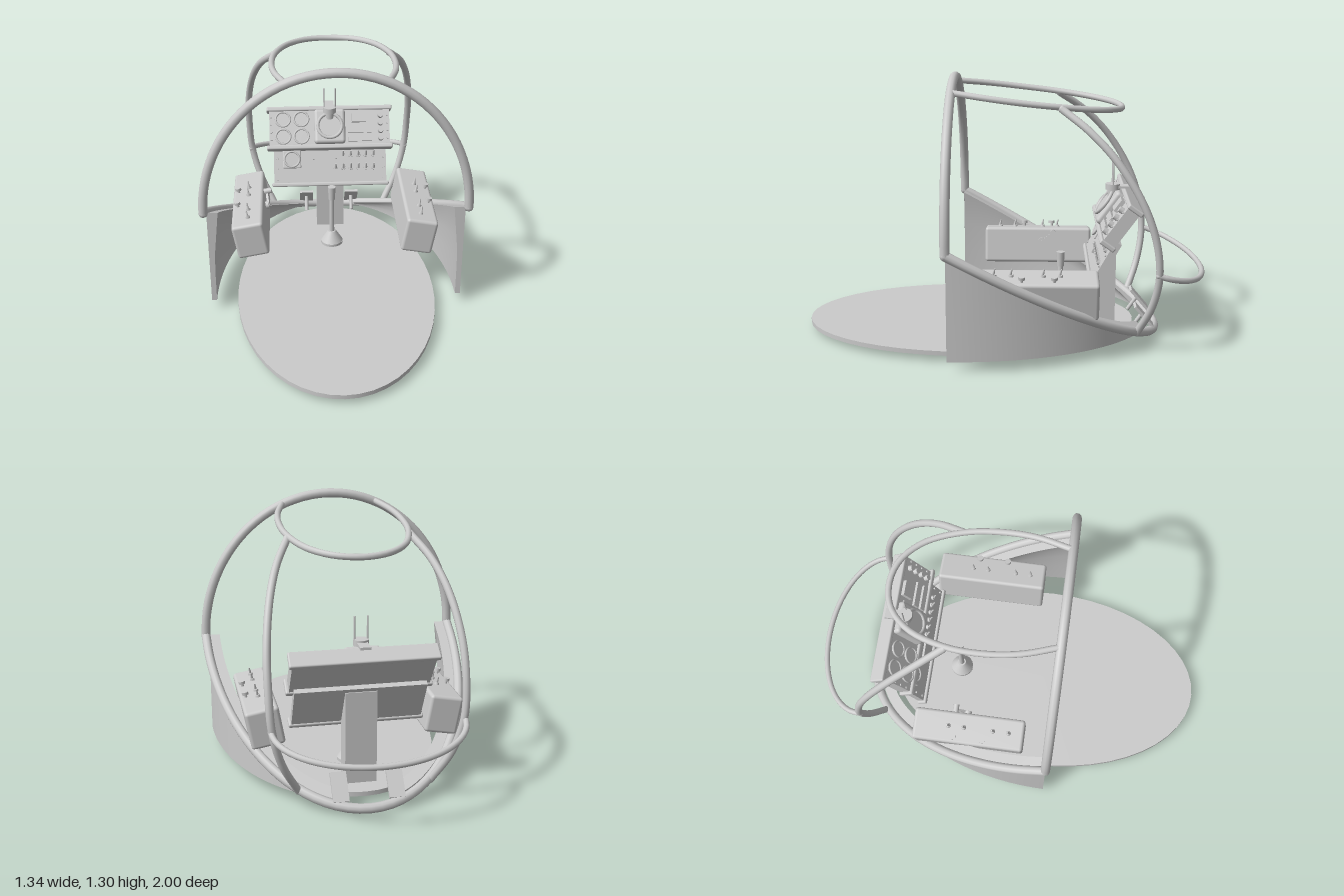
import * as THREE from 'three';
import { toCreasedNormals } from 'three/addons/utils/BufferGeometryUtils.js';
import { RoundedBoxGeometry } from 'three/addons/geometries/RoundedBoxGeometry.js';

const mat = new THREE.MeshStandardMaterial({ color: 0xcccccc });
const thin = new THREE.MeshStandardMaterial({ color: 0xcccccc, side: THREE.DoubleSide });

function add(parent, name, geo, x = 0, y = 0, z = 0, material = mat) {
  const mesh = new THREE.Mesh(geo, material);
  mesh.name = name;
  mesh.position.set(x, y, z);
  parent.add(mesh);
  return mesh;
}
function group(parent, name, x, y, z) {
  const g = new THREE.Group();
  g.name = name;
  g.position.set(x, y, z);
  parent.add(g);
  return g;
}
const box = (w, h, d) => new THREE.BoxGeometry(w, h, d);
const rounded = (w, h, d, r) => new RoundedBoxGeometry(w, h, d, 3, r);
const cyl = (rTop, rBottom, h, n = 20) => new THREE.CylinderGeometry(rTop, rBottom, h, n);
// Cylinder whose axis points out of a panel (+z)
const stud = (rFront, rBack, h, n = 16) => cyl(rFront, rBack, h, n).rotateX(Math.PI / 2);

// Tube through points, with rounded ends
function pipe(parent, name, points, r, segments = 32) {
  const pts = points.map((p) => new THREE.Vector3(...p));
  const g = group(parent, name, 0, 0, 0);
  add(g, name + 'Tube', new THREE.TubeGeometry(new THREE.CatmullRomCurve3(pts), segments, r, 10), 0, 0, 0, thin);
  for (const p of [pts[0], pts[pts.length - 1]]) {
    add(g, name + 'End', new THREE.SphereGeometry(r, 10, 8), p.x, p.y, p.z);
  }
}
const arc = (n, fn) => Array.from({ length: n + 1 }, (_, i) => fn((i / n) * Math.PI));
const slopeY = (z) => 0.57 - 0.535 * (0.25 - z);

// Curved side wall: elliptical in plan, cut off by the sloping rim
function wallGeometry() {
  const steps = 28, tEnd = Math.asin(0.95 / 0.98), pos = [], idx = [];
  // [inset, height fraction] around the cross-section
  const section = [[0, 0], [0, 1], [0.055, 1], [0.04, 0.85], [0.032, 0.65], [0.026, 0.35], [0.025, 0]];
  const n = section.length;
  for (let i = 0; i <= steps; i++) {
    const t = (i / steps) * tEnd;
    for (const [inset, f] of section) {
      const z = 0.25 - (0.98 - inset) * Math.sin(t);
      const top = Math.max(slopeY(z), 0.062);
      pos.push((0.63 - inset) * Math.cos(t), 0.06 + (top - 0.06) * f, z);
    }
  }
  for (let i = 0; i < steps; i++) {
    for (let j = 0; j < n; j++) {
      const a = i * n + j, b = i * n + ((j + 1) % n);
      idx.push(a, b, a + n, b, b + n, a + n);
    }
  }
  for (let j = 1; j < n - 1; j++) idx.push(0, j + 1, j);
  const geo = new THREE.BufferGeometry();
  geo.setAttribute('position', new THREE.Float32BufferAttribute(pos, 3));
  geo.setIndex(idx);
  return toCreasedNormals(geo, 0.6);
}

function dial(parent, name, x, y, r, z = 0) {
  add(parent, name, stud(r * 0.85, r * 0.85, 0.012, 28), x, y, z + 0.004);
  add(parent, name + 'Bezel', new THREE.TorusGeometry(r * 0.88, r * 0.12, 8, 28), x, y, z + 0.01);
}

function buildFrame(root) {
  pipe(root, 'frontHoop', arc(24, (t) => [0.645 * Math.cos(t), 0.57 + 0.717 * Math.sin(t), 0.25]), 0.023, 48);
  pipe(root, 'slopingRim', arc(24, (t) => {
    const z = 0.25 - 1.01 * Math.sin(t);
    return [0.645 * Math.cos(t), slopeY(z), z];
  }), 0.023, 56);
  const half = [[0.24, 1.24, 0.24], [0.285, 1.222, 0.08], [0.3, 1.203, -0.08], [0.285, 1.183, -0.26],
    [0.22, 1.162, -0.44], [0.12, 1.15, -0.54]];
  const mirrored = half.map(([x, y, z]) => [-x, y, z]).reverse();
  pipe(root, 'roofRing', [...half, [0, 1.145, -0.57], ...mirrored], 0.015, 56);
  pipe(root, 'rearBow', arc(16, (t) => [0.44 * Math.cos(t), 0.42 - 0.083 * Math.sin(t), -0.725 - 0.26 * Math.sin(t)]), 0.014, 36);
  for (const s of [-1, 1]) {
    pipe(root, s > 0 ? 'leftRearRib' : 'rightRearRib', [
      [0.29, 1.175, -0.27], [0.36, 1.08, -0.4], [0.41, 0.95, -0.525], [0.44, 0.77, -0.64], [0.445, 0.6, -0.705],
      [0.435, 0.42, -0.73], [0.39, 0.25, -0.705], [0.31, 0.09, -0.645],
    ].map(([x, y, z]) => [s * x, y, z]), 0.018, 40);
  }
}

function buildUpperPanel(root) {
  const g = group(root, 'upperPanel', 0, 0.64, -0.53);
  g.rotation.x = -0.62;
  add(g, 'upperCase', box(0.66, 0.2, 0.065), 0, 0, -0.033);
  add(g, 'upperLid', rounded(0.69, 0.025, 0.085, 0.008), 0, 0.105, -0.035);
  add(g, 'upperLip', rounded(0.69, 0.025, 0.085, 0.008), 0, -0.108, -0.03);
  for (const x of [-0.255, -0.155]) for (const y of [0.045, -0.05]) dial(g, 'gauge', x, y, 0.045);
  add(g, 'centerMount', rounded(0.17, 0.19, 0.05, 0.018), 0, 0, 0.012);
  dial(g, 'centerGauge', 0, 0, 0.075, 0.036);
  add(g, 'screen', box(0.08, 0.065, 0.03), 0.16, 0.055, 0.005);
  add(g, 'displayBar', box(0.13, 0.033, 0.02), 0.165, -0.02, 0.004);
  add(g, 'displayBar', box(0.13, 0.03, 0.02), 0.165, -0.068, 0.004);
  for (let i = 0; i < 4; i++) {
    const y = 0.06 - i * 0.042;
    add(g, 'knob', stud(0.014, 0.016, 0.024), 0.28, y, 0.01);
    for (const x of [-0.32, 0.317]) add(g, 'screw', stud(0.005, 0.006, 0.008, 8), x, y, 0.003);
  }
}

function buildLowerPanel(root) {
  const g = group(root, 'lowerPanel', 0, 0.445, -0.475);
  g.rotation.x = -0.5;
  add(g, 'lowerCase', box(0.62, 0.23, 0.035), 0, 0, -0.018);
  add(g, 'lowerLip', rounded(0.645, 0.022, 0.055, 0.008), 0, -0.115, -0.015);
  add(g, 'gaugeMount', rounded(0.1, 0.1, 0.016, 0.006), -0.21, 0.025, 0.002);
  dial(g, 'gauge', -0.21, 0.025, 0.047, 0.008);
  add(g, 'radioPanel', box(0.18, 0.045, 0.016), -0.015, 0.045, 0.004);
  add(g, 'labelPanel', box(0.105, 0.035, 0.016), -0.063, -0.043, 0.004);
  for (const x of [-0.29, 0.295]) for (const y of [-0.085, -0.03, 0.03, 0.085]) {
    add(g, 'screw', stud(0.005, 0.006, 0.008, 8), x, y, 0.003);
  }
  for (let row = 0; row < 2; row++) for (let i = 1 - row; i < 6; i++) {
    const x = 0.03 + i * 0.042, y = 0.042 - row * 0.07;
    add(g, 'switchBase', stud(0.012, 0.013, 0.012, 12), x, y, 0.005);
    add(g, 'switchLever', cyl(0.004, 0.007, 0.035, 8), x, y + 0.012, 0.022).rotation.x = 0.8;
  }
}

function buildConsole(root) {
  buildUpperPanel(root);
  buildLowerPanel(root);
  // Column with its top cut to follow the panel
  const side = new THREE.Shape([[0.455, 0.06], [0.555, 0.06], [0.555, 0.51], [0.52, 0.52], [0.455, 0.4]]
    .map(([x, y]) => new THREE.Vector2(x, y)));
  const column = new THREE.ExtrudeGeometry(side, { depth: 0.15, bevelEnabled: false });
  add(root, 'consoleColumn', column.rotateY(Math.PI / 2).translate(-0.075, 0, 0));
  // Antenna base
  add(root, 'antennaBase', cyl(0.036, 0.036, 0.03), 0, 0.745, -0.535);
  add(root, 'antennaStem', cyl(0.026, 0.026, 0.04), 0, 0.715, -0.535);
  add(root, 'antennaBracket', box(0.05, 0.012, 0.09), 0, 0.745, -0.59);
  for (const s of [-1, 1]) add(root, 'antenna', cyl(0.004, 0.004, 0.12, 8), s * 0.03, 0.808, -0.535);
}

function buildArmrest(root, s) {
  const g = group(root, s > 0 ? 'leftArmrest' : 'rightArmrest', s * 0.43, 0.32, -0.165);
  g.rotation.z = -s * 0.18;
  add(g, 'armrestBox', rounded(0.162, 0.188, 0.57, 0.016));
  for (const z of [-0.105, -0.025, 0.125, 0.205]) {
    add(g, 'switchBase', cyl(0.01, 0.013, 0.012, 12), -s * 0.005, 0.098, z);
    add(g, 'switchLever', cyl(0.003, 0.007, 0.035, 8), -s * 0.005, 0.116, z).rotation.x = -0.25;
  }
  for (const z of [-0.075, 0.075]) {
    add(g, 'knobStem', cyl(0.007, 0.007, 0.025, 10), s * 0.05, 0.1, z);
    add(g, 'knob', cyl(0.016, 0.016, 0.014, 14), s * 0.05, 0.115, z);
  }
  if (s < 0) {
    // Throttle on the inner side
    add(g, 'throttlePivot', cyl(0.02, 0.02, 0.02).rotateZ(Math.PI / 2), 0.088, 0.02, -0.02);
    add(g, 'throttleArm', box(0.012, 0.09, 0.016), 0.094, 0.04, -0.05).rotation.x = -0.9;
    add(g, 'throttleGrip', cyl(0.015, 0.015, 0.04, 14).rotateZ(Math.PI / 2), 0.1, 0.07, -0.08);
  }
}

export function createModel() {
  const root = new THREE.Group();
  root.name = 'openCockpit';

  const floor = add(root, 'floor', cyl(1, 1, 0.022, 48), 0, 0.047, 0.175);
  floor.scale.set(0.5, 1, 0.825);

  buildFrame(root);
  const wall = wallGeometry();
  add(root, 'leftWall', wall, 0, 0, 0, thin);
  add(root, 'rightWall', wall, 0, 0, 0, thin).scale.x = -1;
  buildConsole(root);

  for (const s of [-1, 1]) {
    buildArmrest(root, s);
    // Foot pedals lean forward over small posts
    const pedal = group(root, s > 0 ? 'leftPedal' : 'rightPedal', s * 0.13, 0.115, -0.695);
    add(pedal, 'pedalPlate', box(0.075, 0.14, 0.014)).rotation.x = 0.7;
    add(pedal, 'pedalPost', cyl(0.01, 0.01, 0.08, 12), 0, -0.03, 0.035).rotation.x = -0.6;
  }

  // Control stick
  const stick = group(root, 'controlStick', 0, 0, -0.28);
  add(stick, 'stickBoot', cyl(0.022, 0.06, 0.06, 24), 0, 0.1, 0);
  add(stick, 'stickFoot', cyl(0.06, 0.06, 0.015, 24), 0, 0.064, 0);
  add(stick, 'stickShaft', cyl(0.012, 0.014, 0.22, 14), 0, 0.23, 0);
  add(stick, 'stickGrip', cyl(0.021, 0.017, 0.075, 16), 0, 0.365, 0);
  return root;
}
